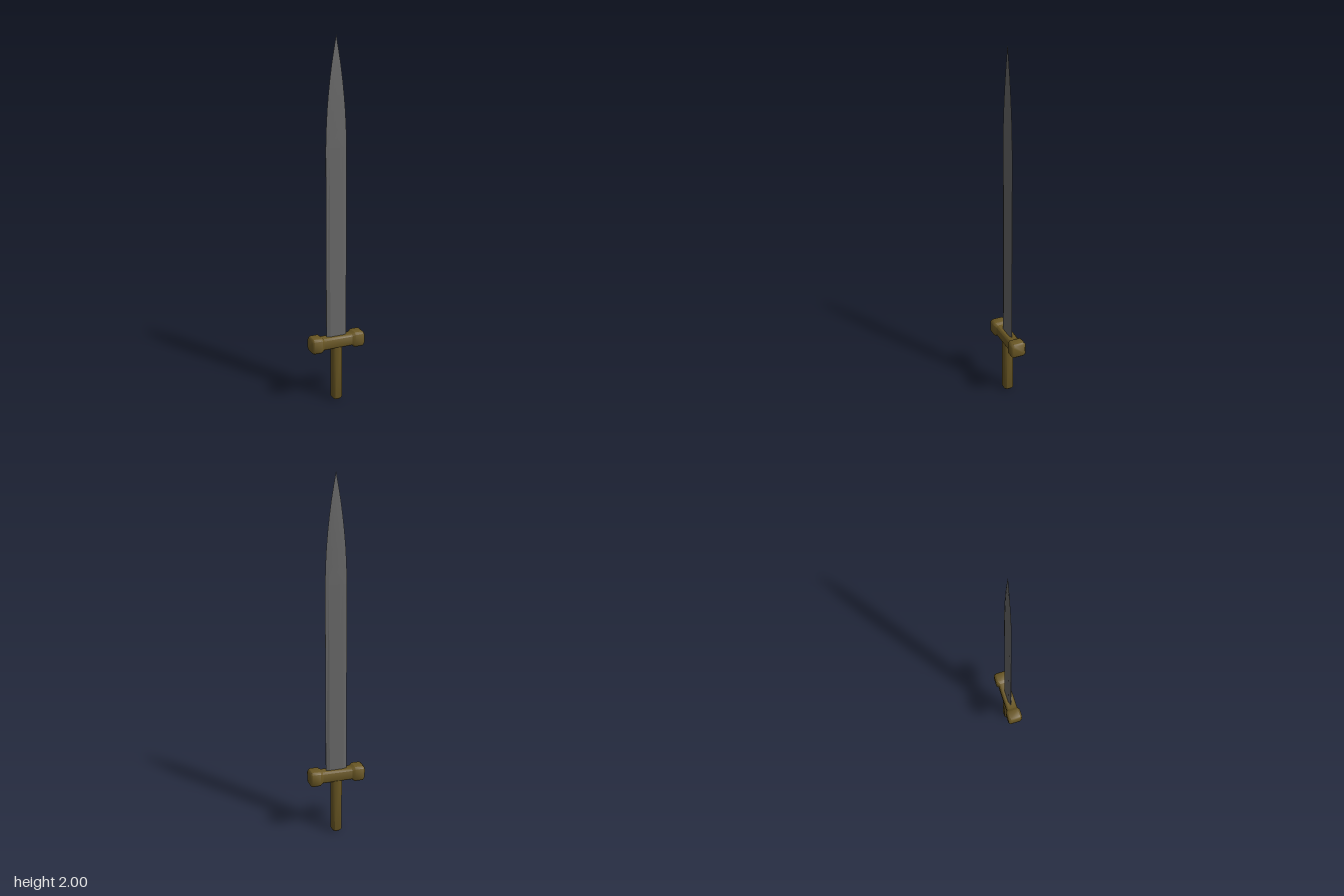
import * as THREE from 'three';
import { toCreasedNormals } from 'three/addons/utils/BufferGeometryUtils.js';

// Counter-clockwise chamfered rectangle: half width, half height, chamfers in each direction
function ring(w, h, cx, cy = cx) {
  return [
    [w, -h + cy], [w, h - cy], [w - cx, h], [-w + cx, h],
    [-w, h - cy], [-w, -h + cy], [-w + cx, -h], [w - cx, -h],
  ];
}

// Skin through [distance, ring] sections along +z, capped at both ends
function loft(sections, crease) {
  const n = sections[0][1].length;
  const pos = [];
  const index = [];
  sections.forEach(([d, pts]) => pts.forEach(([x, y]) => pos.push(x, y, d)));
  for (let s = 0; s < sections.length - 1; s++) {
    for (let i = 0; i < n; i++) {
      const a = s * n + i;
      const b = s * n + (i + 1) % n;
      index.push(a, b, b + n, a, b + n, a + n);
    }
  }
  const last = (sections.length - 1) * n;
  for (let i = 1; i < n - 1; i++) {
    index.push(0, i + 1, i, last, last + i, last + i + 1);
  }
  const geo = new THREE.BufferGeometry();
  geo.setAttribute('position', new THREE.Float32BufferAttribute(pos, 3));
  geo.setIndex(index);
  return toCreasedNormals(geo, crease);
}

export function createModel() {
  const sword = new THREE.Group();
  sword.name = 'sword';
  const steel = new THREE.MeshStandardMaterial({ color: 0x666666 });
  const bronze = new THREE.MeshStandardMaterial({ color: 0x6b5824 });

  const add = (name, geo, material) => {
    const mesh = new THREE.Mesh(geo, material);
    mesh.name = name;
    sword.add(mesh);
    return mesh;
  };

  // Blade: flat faces with ground edges, curving in to the point and thinning upward
  const outline = [
    [0.36, 0.06], [1.43, 0.06], [1.53, 0.057], [1.62, 0.052], [1.7, 0.045],
    [1.78, 0.036], [1.86, 0.025], [1.93, 0.013], [2, 0.0004],
  ];
  const blade = loft(outline.map(([y, w]) => {
    const t = 0.0095 * (1 - (y - 0.36) / 1.64) + 0.0004;
    return [y, ring(w, t, w * 0.34, t * 0.9)];
  }), 0.15);
  add('blade', blade.rotateX(-Math.PI / 2), steel);

  // Crossguard: slim bar flaring into a chamfered block at each end
  const half = [[0.085, 0.033, 0.01], [0.1, 0.043, 0.012], [0.148, 0.043, 0.012], [0.158, 0.034, 0.01]];
  const profile = [
    ...half.map(([x, r, c]) => [-x, r, c]).reverse(),
    ...half,
  ];
  const guard = loft(profile.map(([x, r, c]) => [x, ring(r, r, c)]), 0.9);
  add('crossguard', guard.rotateY(Math.PI / 2), bronze).position.y = 0.348;

  // Grip: chamfered post with a tapered foot
  const grip = loft([
    [0, ring(0.018, 0.018, 0.008)],
    [0.012, ring(0.028, 0.028, 0.011)],
    [0.33, ring(0.028, 0.028, 0.011)],
  ], 0.9);
  add('grip', grip.rotateX(-Math.PI / 2), bronze);

  return sword;
}
